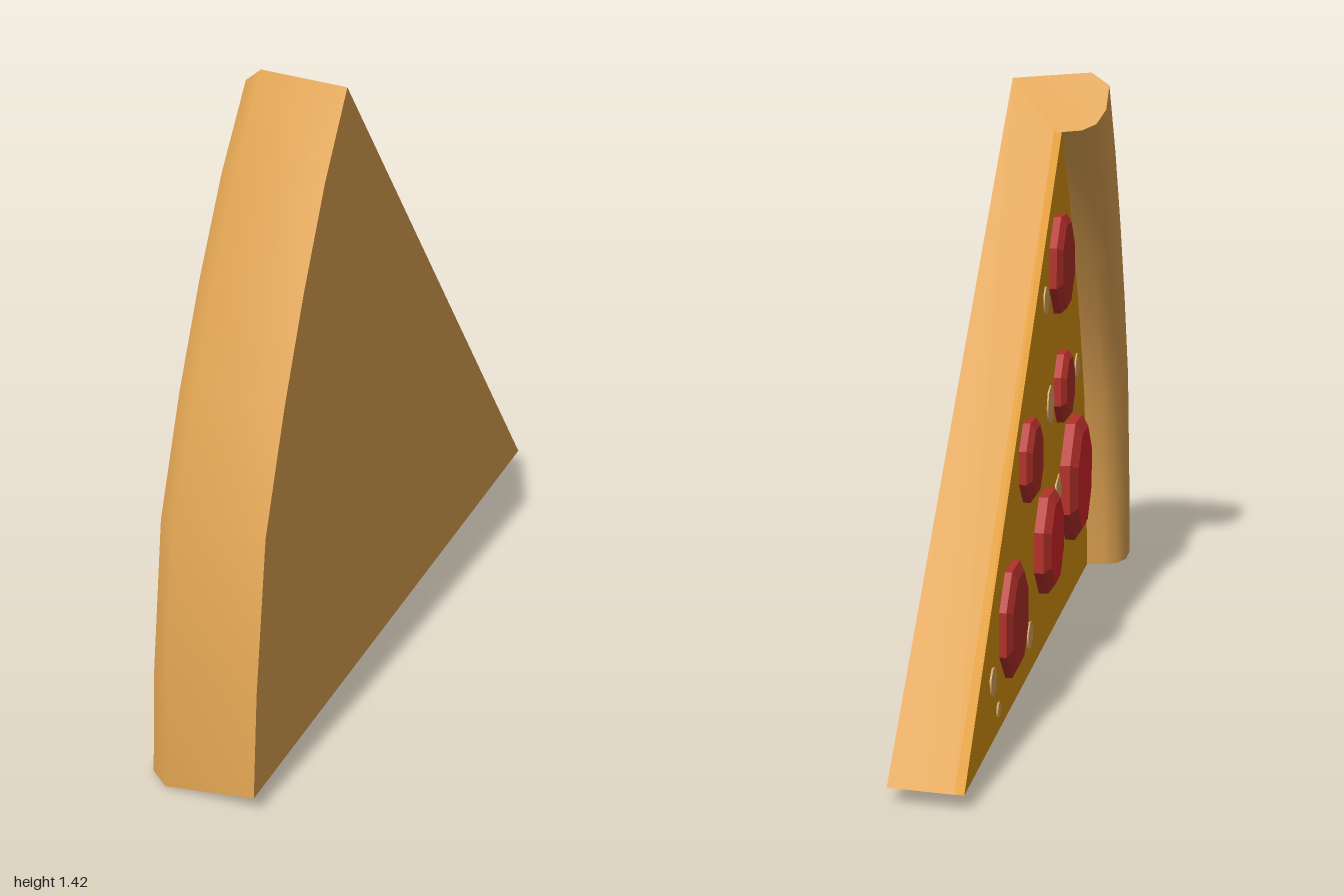
import * as THREE from 'three';
import { toCreasedNormals } from 'three/addons/utils/BufferGeometryUtils.js';

const mat = (name, color, flatShading = false) => {
  const m = new THREE.MeshStandardMaterial({ color, flatShading });
  m.name = name;
  return m;
};

// Uneven wedge angles (radians) and radius factors along the outer arc
const ANGLES = [0, 0.114, 0.279, 0.412, 0.532, 0.651, 0.761];
const RADII = [1, 0.994, 0.996, 0.987, 0.986, 0.992, 0.999];
const STEPS = ANGLES.length - 1;

// Sweeps a (radius, x) section round the tip of the slice; the cut sides flare slightly
function sweepSection(points) {
  const shape = new THREE.Shape(points.map(([r, x]) => new THREE.Vector2(r, x)));
  const geo = new THREE.ExtrudeGeometry(shape, { depth: 1, steps: STEPS, bevelEnabled: false });
  const p = geo.attributes.position;
  for (let i = 0; i < p.count; i++) {
    const k = Math.round(p.getZ(i) * STEPS);
    const r = p.getX(i) * RADII[k];
    const x = p.getY(i);
    const flare = THREE.MathUtils.clamp((0.13 - x) / 0.14, 0, 1);
    const t = ANGLES[k] + 0.018 * flare * (2 * k / STEPS - 1);
    p.setXYZ(i, x, 0.035 + r * Math.sin(t), -0.985 - 0.012 * flare + r * Math.cos(t));
  }
  geo.deleteAttribute('uv');
  return toCreasedNormals(geo, 0.7);
}

export function createModel() {
  const dough = mat('dough', 0xdfa352);
  const cheese = mat('cheese', 0xdb930f);
  const bubble = mat('pale cheese', 0xdca862);
  const rimRed = mat('sausage red', 0xb4302a, true);
  const faceRed = mat('bright sausage red', 0xd6252a, true);

  const model = new THREE.Group();
  model.name = 'pizzaSlice';
  const add = (parent, name, geo, material) => {
    const mesh = new THREE.Mesh(geo, material);
    mesh.name = name;
    parent.add(mesh);
    return mesh;
  };

  // Flat base with the rolled crust at its outer end
  add(model, 'doughAndCrust', sweepSection([
    [0, 0.13], [1.985, 0.13], [1.97, -0.085], [1.925, -0.135], [1.84, -0.135],
    [1.79, -0.115], [1.768, -0.08], [1.76, -0.01], [0, -0.01],
  ]), dough);

  // Cheese layer
  add(model, 'cheeseLayer', sweepSection([
    [0, -0.01], [1.77, -0.01], [1.77, -0.03], [0, -0.03],
  ]), cheese);

  // Sausage slices: z, y, radius, height, face colour
  const slices = [
    [-0.5, 0.24, 0.13, 0.028, rimRed],
    [-0.28, 0.55, 0.1, 0.03, rimRed],
    [-0.045, 0.295, 0.13, 0.04, faceRed],
    [0.22, 0.63, 0.095, 0.032, rimRed],
    [0.18, 0.95, 0.13, 0.032, rimRed],
    [0.4, 0.35, 0.17, 0.045, faceRed],
  ];
  for (const [z, y, r, h, face] of slices) {
    const g = new THREE.Group();
    g.name = 'sausageSlice';
    g.position.set(-0.029, y, z);
    g.rotation.z = Math.PI / 2;
    const profile = [[r, 0], [r, h * 0.6], [r * 0.82, h]].map(([a, b]) => new THREE.Vector2(a, b));
    add(g, 'sliceRim', new THREE.LatheGeometry(profile, 8).rotateY(Math.PI / 8), rimRed);
    add(g, 'sliceFace', new THREE.CircleGeometry(r * 0.82, 8)
      .rotateX(-Math.PI / 2).rotateY(Math.PI / 8).translate(0, h, 0), face);
    model.add(g);
  }

  // Pale spots on the cheese: z, y, radius, sides
  const spots = [
    [0, 0.88, 0.036, 7], [0.53, 0.63, 0.036, 7], [0.07, 0.61, 0.05, 8], [0.195, 0.355, 0.05, 5],
    [-0.235, 0.115, 0.035, 7], [-0.7, 0.165, 0.032, 7], [-0.64, 0.08, 0.018, 6],
  ];
  for (const [z, y, r, sides] of spots) {
    const spot = add(model, 'cheeseSpot', new THREE.CylinderGeometry(r, r, 0.006, sides), bubble);
    spot.rotation.z = Math.PI / 2;
    spot.position.set(-0.031, y, z);
  }

  // Slight lean of the whole slice
  model.rotation.y = -0.01;
  const root = new THREE.Group();
  root.name = 'slice';
  root.add(model);
  return root;
}
